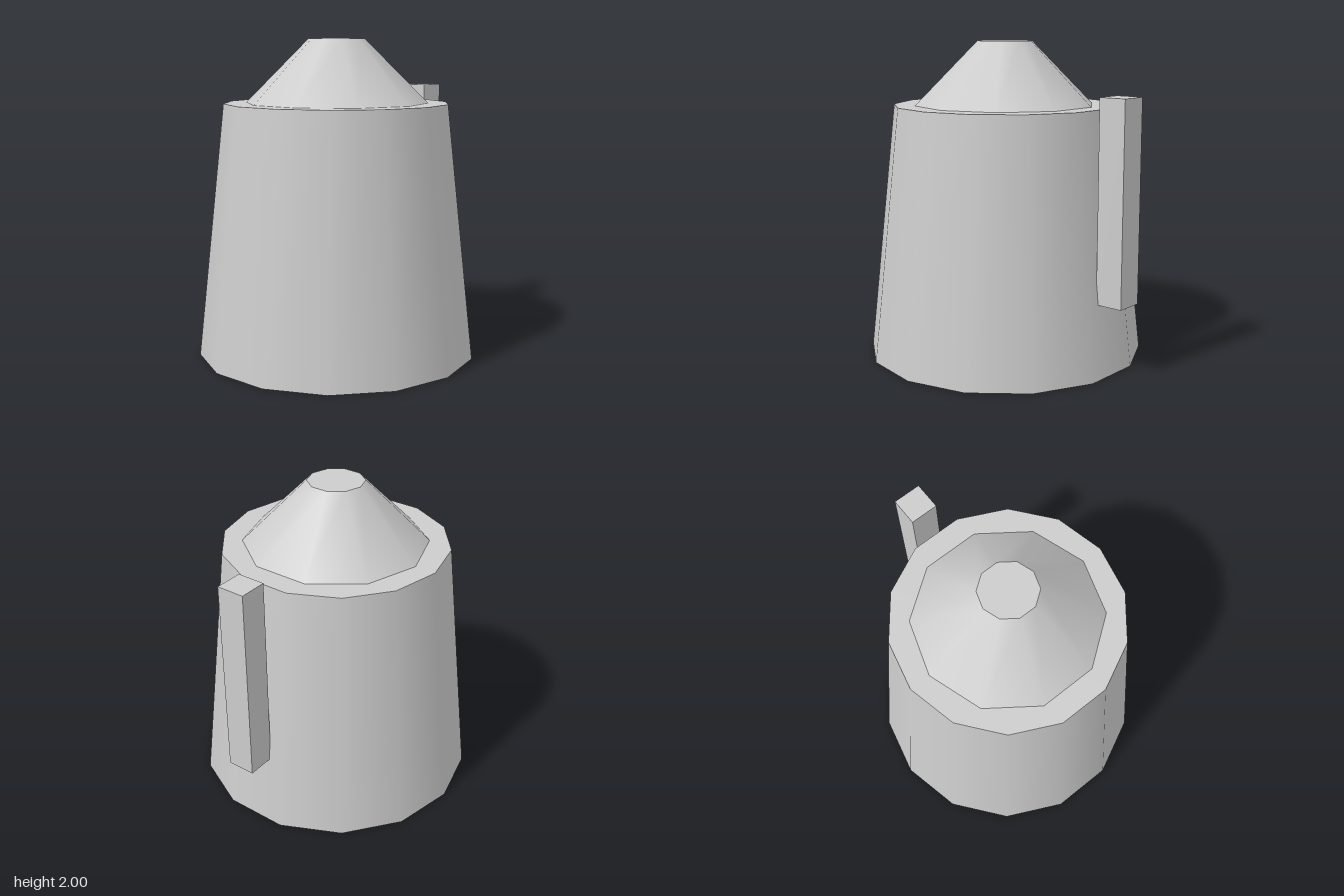
import * as THREE from 'three';

export function createModel() {
  const group = new THREE.Group();
  const grey = new THREE.MeshStandardMaterial({ color: 0xcccccc });
  grey.name = 'light grey';

  const addPart = (name, geometry, x, y) => {
    const mesh = new THREE.Mesh(geometry, grey);
    mesh.name = name;
    mesh.position.set(x, y, 0);
    group.add(mesh);
  };

  // the pot sits off-centre to balance the handle
  const potX = -0.06;

  // tapered fourteen-sided body
  addPart('body', new THREE.CylinderGeometry(0.71, 0.887, 1.6, 14), potX, 0.8);

  // ten-sided lid with a flat top
  addPart('lid', new THREE.CylinderGeometry(0.177, 0.577, 0.4, 10), potX, 1.8);

  // upright bar handle, its foot sunk into the body
  addPart('handle', new THREE.BoxGeometry(0.177, 1.24, 0.177), 0.83, 1.07);

  return group;
}
